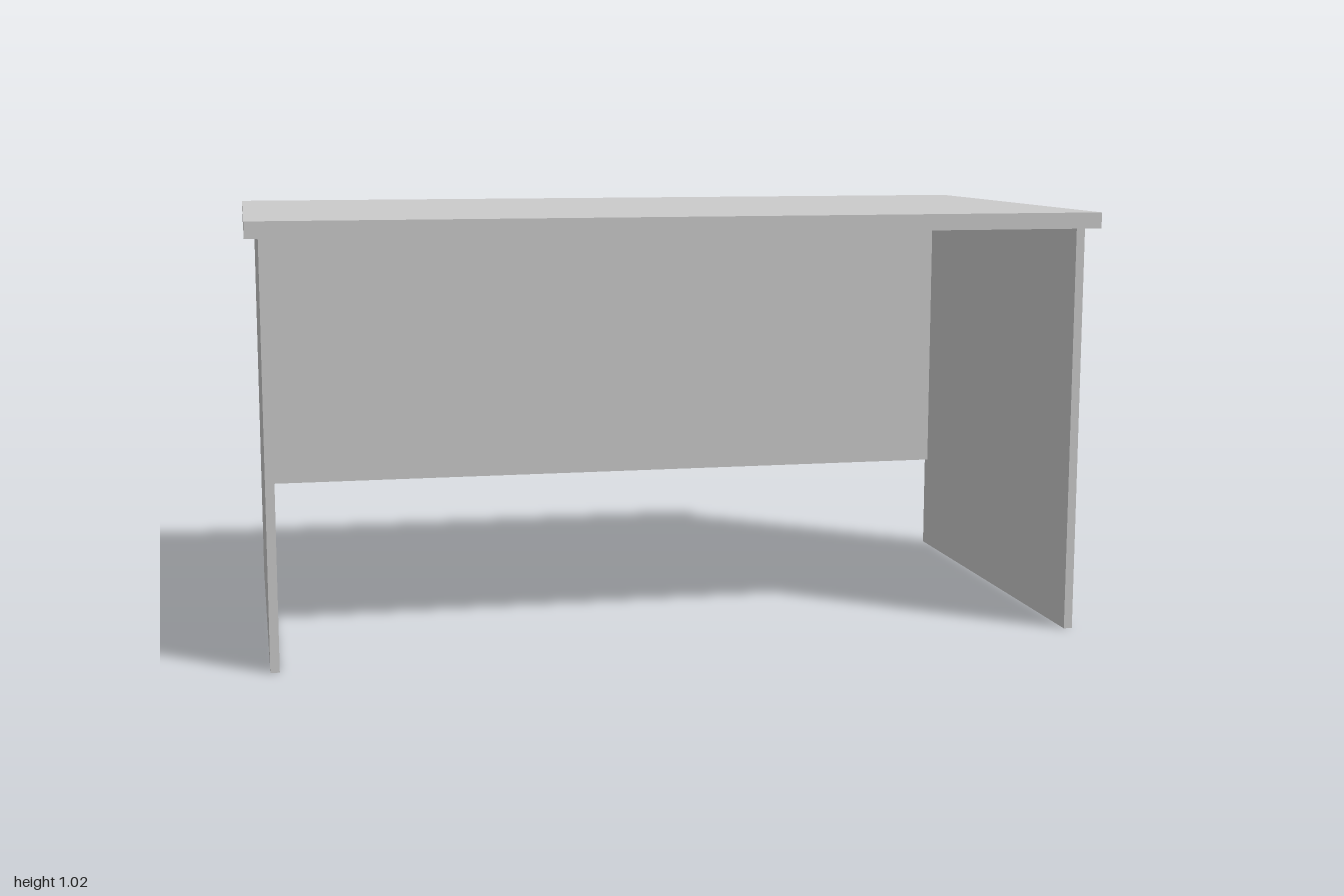
import * as THREE from 'three';

export function createModel() {
  const desk = new THREE.Group();
  desk.name = 'desk';
  const material = new THREE.MeshStandardMaterial({ color: 0xcccccc });

  const height = 1.021, topThickness = 0.038, board = 0.021;
  const underside = height - topThickness;
  const sideOuter = 0.97, sideDepth = 1.014, panelBottom = 0.25;

  // Adds a box resting on y = bottom, centred on x and z
  function addBoard(name, w, h, d, x, bottom, z) {
    const mesh = new THREE.Mesh(new THREE.BoxGeometry(w, h, d), material);
    mesh.name = name;
    mesh.position.set(x, bottom + h / 2, z);
    desk.add(mesh);
  }

  // Overhanging top
  addBoard('tabletop', 2, topThickness, 1.067, 0, underside, 0);

  // Solid side panels that serve as legs
  for (const [name, s] of [['leftSide', 1], ['rightSide', -1]]) {
    addBoard(name, board, underside, sideDepth, s * (sideOuter - board / 2), 0, 0);
  }

  // Back panel between the sides, flush with their rear edges
  addBoard('backPanel', 2 * (sideOuter - board), underside - panelBottom, board,
    0, panelBottom, -(sideDepth - board) / 2);

  return desk;
}
